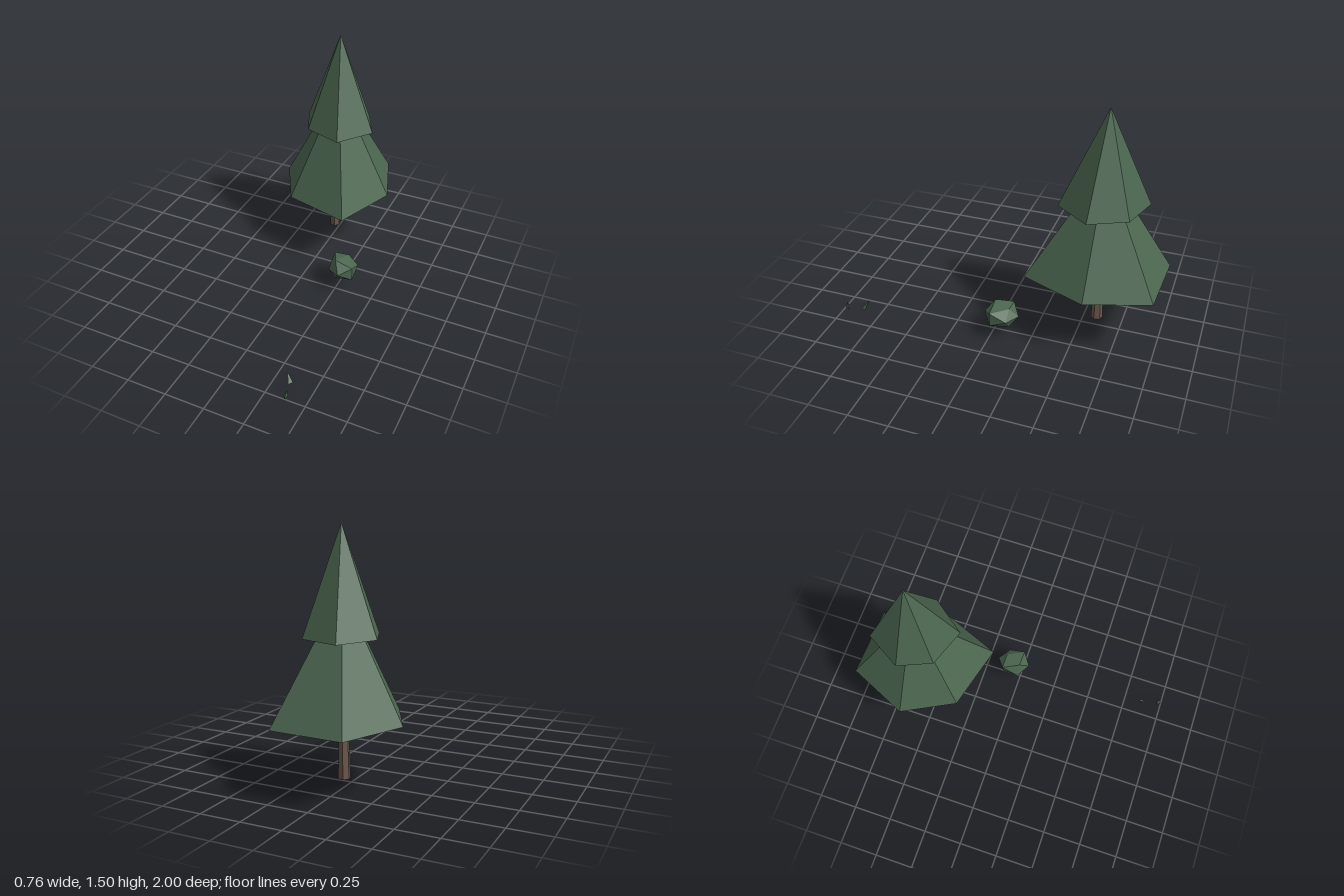
import * as THREE from 'three';

const foliage = new THREE.MeshStandardMaterial({ name: 'foliage green', color: 0x4b664f });
const bark = new THREE.MeshStandardMaterial({ name: 'bark brown', color: 0x6b584c });

// Flat-faced mesh from a list of triangle corners
function facetMesh(name, material, corners) {
  const geometry = new THREE.BufferGeometry();
  geometry.setAttribute('position', new THREE.Float32BufferAttribute(corners.flat(), 3));
  geometry.computeVertexNormals();
  const mesh = new THREE.Mesh(geometry, material);
  mesh.name = name;
  return mesh;
}

// Closed irregular pyramid: base corners [x, z] run clockwise seen from above
function spike(name, tip, y, base) {
  const center = [0, 1].map((k) => base.reduce((sum, p) => sum + p[k], 0) / base.length);
  const corners = [];
  base.forEach((p, i) => {
    const q = base[(i + 1) % base.length];
    const a = [p[0], y, p[1]], b = [q[0], y, q[1]];
    corners.push(tip, b, a, [center[0], y, center[1]], a, b);
  });
  return facetMesh(name, foliage, corners);
}

// Uneven twenty-sided bush: two five-point rings between a front and a back point
function makeBush() {
  const front = [0.285, 0.15, 0.05], back = [0.275, 0.15, -0.17];
  const near = [[0.36, 0.19], [0.244, 0.222], [0.197, 0.133], [0.248, 0.081], [0.36, 0.1]]
    .map(([x, y]) => [x, y, -0.008]);
  const far = [[0.295, 0.208], [0.197, 0.2], [0.215, 0.095], [0.31, 0.081], [0.36, 0.145]]
    .map(([x, y]) => [x, y, -0.115]);
  const corners = [];
  for (let i = 0; i < 5; i++) {
    const j = (i + 1) % 5;
    corners.push(front, near[i], near[j], near[i], far[i], near[j]);
    corners.push(near[j], far[i], far[j], far[j], far[i], back);
  }
  return facetMesh('bush', foliage, corners);
}

export function createModel() {
  const model = new THREE.Group();
  model.name = 'pineScene';

  // Tree: tapered trunk and two tiers of needles
  const tree = new THREE.Group();
  tree.name = 'pineTree';
  const trunkGeometry = new THREE.CylinderGeometry(0.025, 0.037, 0.4, 6).toNonIndexed();
  trunkGeometry.computeVertexNormals();
  const trunk = new THREE.Mesh(trunkGeometry, bark);
  trunk.name = 'trunk';
  trunk.position.set(-0.007, 0.26, -0.6);
  trunk.rotation.y = 0.25;
  tree.add(
    trunk,
    spike('lowerBranches', [-0.006, 1.14, -0.6], 0.41,
      [[-0.21, -1], [0.24, -0.98], [0.373, -0.587], [0.21, -0.18], [-0.208, -0.29], [-0.38, -0.62]]),
    spike('upperBranches', [-0.006, 1.495, -0.603], 0.877,
      [[-0.105, -0.862], [0.143, -0.785], [0.254, -0.558], [0.093, -0.345], [-0.147, -0.43], [-0.236, -0.64]]),
  );
  model.add(tree, makeBush());

  // Two grass blades
  model.add(
    spike('innerGrassBlade', [0.318, 0.057, 0.85], 0, [[0.337, 0.864], [0.361, 0.866], [0.343, 0.892]]),
    spike('outerGrassBlade', [0.378, 0.055, 0.977], 0, [[0.354, 0.976], [0.38, 0.97], [0.371, 1]]),
  );
  return model;
}
